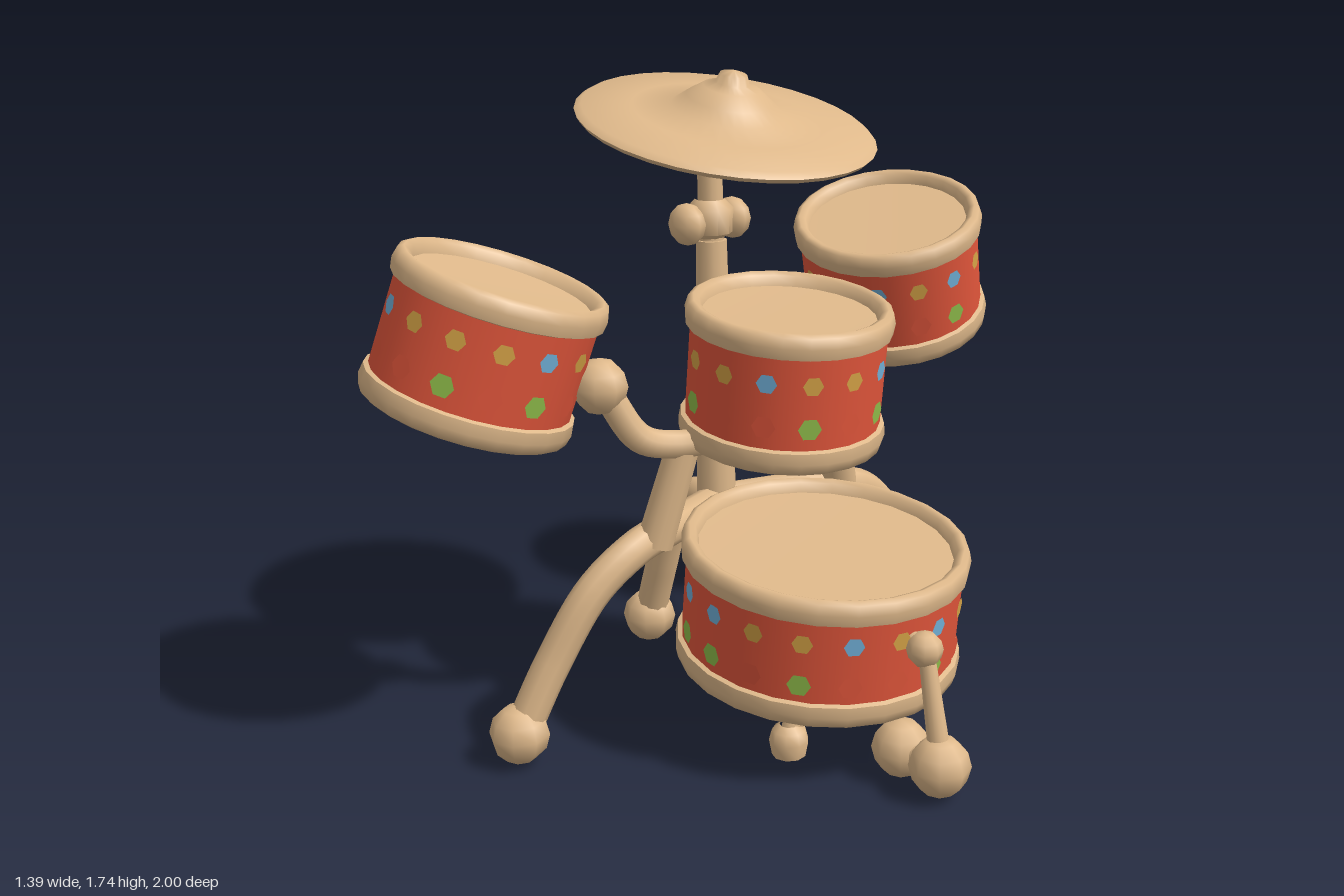
import * as THREE from 'three';
import { toCreasedNormals } from 'three/addons/utils/BufferGeometryUtils.js';

const mat = (name, color) => {
  const m = new THREE.MeshStandardMaterial({ color });
  m.name = name;
  return m;
};

export function createModel() {
  const tan = mat('tan', 0xdeb88a);
  const red = mat('red', 0xe4573c);
  const blue = mat('blue', 0x74b4dc);
  const gold = mat('gold', 0xd9a648);
  const green = mat('green', 0x92c04c);
  const root = new THREE.Group();
  root.name = 'drumKit';
  const V = (p) => new THREE.Vector3(...p);
  const UP = new THREE.Vector3(0, 1, 0);

  const add = (parent, name, geo, material, pos = [0, 0, 0]) => {
    const m = new THREE.Mesh(geo, material);
    m.name = name;
    m.position.set(...pos);
    parent.add(m);
    return m;
  };
  const lathe = (pts, sides) => toCreasedNormals(
    new THREE.LatheGeometry(pts.map((p) => new THREE.Vector2(...p)), sides), 1);
  const ball = (name, pos, r) => add(root, name, new THREE.SphereGeometry(r, 8, 6), tan, pos);
  const tube = (name, pts, r) => add(root, name,
    new THREE.TubeGeometry(new THREE.CatmullRomCurve3(pts.map(V)), pts.length * 5, r, 10), tan);
  // straight tapered rod between two points
  const rod = (name, a, b, ra, rb = ra) => {
    const d = V(b).sub(V(a));
    const m = add(root, name, new THREE.CylinderGeometry(rb, ra, d.length(), 12), tan);
    m.position.copy(V(a)).addScaledVector(d, 0.5);
    m.quaternion.setFromUnitVectors(UP, d.normalize());
  };

  // drum: red shell, two rolled rims with recessed heads, two rows of studs
  // stud rows are strings: b blue, y gold, g green, r red; dir -1 mirrors them front to back
  const studColours = { b: blue, y: gold, g: green, r: red };
  const drum = (name, bottom, top, r, upper, lower, phase, dir = 1) => {
    const g = new THREE.Group();
    g.name = name;
    const axis = V(top).sub(V(bottom));
    const h = axis.length() / 2;
    g.position.copy(V(bottom)).addScaledVector(axis, 0.5);
    g.quaternion.setFromUnitVectors(UP, axis.normalize());
    root.add(g);
    const s = r - 0.015;
    add(g, 'shell', new THREE.CylinderGeometry(s, s, 2 * h - 0.08, 24, 1, true), red);
    const rim = [[s - 0.01, h - 0.072], [r - 0.003, h - 0.064], [r + 0.001, h - 0.035], [r - 0.006, h - 0.008],
      [r - 0.02, h], [r - 0.036, h - 0.008], [r - 0.045, h - 0.035], [0, h - 0.04]];
    add(g, 'topRimAndHead', lathe(rim, 24), tan);
    add(g, 'bottomRimAndHead', lathe(rim.map(([x, y]) => [x, -y]).reverse(), 24), tan);
    const studRow = (label, row, y, size) => [...row].forEach((c, i) => {
      const turn = THREE.MathUtils.degToRad(phase) + (i / row.length) * Math.PI * 2;
      const a = dir > 0 ? turn : Math.PI - turn;
      const m = add(g, label, new THREE.CircleGeometry(size, 6), studColours[c],
        [Math.sin(a) * (s + 0.005), y, Math.cos(a) * (s + 0.005)]);
      m.rotation.y = a;
    });
    studRow('upperStud', upper, 0.055, 0.027);
    studRow('lowerStud', lower, -0.06, 0.031);
  };
  drum('lowerDrum', [0.127, 0.215, 0], [0.167, 0.57, 0], 0.38,
    'byybybyybbyybbyyyb', 'grgrrgrggrggrggrrg', 0);
  drum('centreTom', [-0.018, 0.795, 0], [0.024, 1.17, 0], 0.272,
    'ybyybbyybyybby', 'rrgrggrggrggrg', 12);
  drum('sideTom', [-0.378, 0.925, 0.74], [-0.312, 1.28, 0.637], 0.274,
    'byyybybyybyyby', 'rrgrgrggrggrgr', -12);
  drum('sideTom', [-0.348, 0.925, -0.745], [-0.288, 1.28, -0.642], 0.274,
    'byyybybyybyyby', 'rrgrgrggrggrgr', -12, -1);

  // cymbal with soft bell and nut
  const cymbal = add(root, 'cymbal', lathe([[0, 0.02], [0.1, 0.015], [0.36, -0.014], [0.388, -0.012],
    [0.397, 0], [0.38, 0.014], [0.25, 0.026], [0.15, 0.04], [0.115, 0.07], [0.075, 0.1],
    [0.044, 0.112], [0.036, 0.135], [0, 0.146]], 32), tan, [-0.23, 1.595, 0]);
  cymbal.quaternion.setFromUnitVectors(UP, new THREE.Vector3(0.225, 0.974, 0).normalize());

  // centre pole with clamp
  rod('lowerPole', [-0.29, 0.5, 0], [-0.3, 1.28, 0], 0.056, 0.042);
  rod('upperPole', [-0.3, 1.25, 0], [-0.305, 1.625, 0], 0.034);
  add(root, 'poleCollar', lathe([[0.035, -0.05], [0.06, -0.035], [0.064, 0.03], [0.04, 0.055]], 10),
    tan, [-0.305, 1.335, 0]);
  rod('clampBar', [-0.305, 1.33, -0.09], [-0.305, 1.33, 0.09], 0.04);
  for (const k of [1, -1]) ball('clampKnob', [-0.305, 1.33, 0.077 * k], 0.057).scale.z = 0.8;

  // back leg
  tube('backLeg', [[-0.27, 0.54, 0], [-0.39, 0.535, 0], [-0.48, 0.45, 0], [-0.56, 0.25, 0], [-0.615, 0.09, 0]], 0.047);
  ball('backFoot', [-0.62, 0.085, 0], 0.078);

  for (const k of [1, -1]) {
    // side legs
    tube('sideLeg', [[-0.29, 0.54, 0], [-0.18, 0.55, 0.26 * k], [-0.15, 0.54, 0.38 * k],
      [-0.165, 0.45, 0.51 * k], [-0.2, 0.27, 0.62 * k], [-0.222, 0.09, 0.712 * k]], 0.048);
    ball('sideFoot', [-0.225, 0.088, 0.716 * k], 0.08);
    // strut from the leg and curved arm to the side tom
    rod('tomStrut', [-0.14, 0.54, 0.33 * k], [-0.1, 0.82, 0.255 * k], 0.05, 0.044);
    tube('tomArm', [[-0.06, 0.82, 0.2 * k], [-0.1, 0.815, 0.29 * k], [-0.125, 0.845, 0.38 * k],
      [-0.16, 0.98, 0.46 * k]], 0.038);
    ball('tomJoint', [-0.17, 0.99, 0.468 * k], 0.073);
    // short legs below the lower drum
    rod('shortLeg', [0.2, 0.05, 0.16 * k], [0.19, 0.25, 0.07 * k], 0.028, 0.034);
    add(root, 'shortLegFoot', lathe([[0, -0.045], [0.045, -0.042], [0.053, 0], [0.045, 0.03], [0.025, 0.045]], 9),
      tan, [0.2, 0.047, 0.16 * k]);
  }

  // beater pedal
  rod('pedalMount', [0.47, 0.4, 0.02], [0.55, 0.39, 0.02], 0.026);
  ball('pedalHinge', [0.55, 0.385, 0.02], 0.047);
  rod('pedalRod', [0.555, 0.38, 0.02], [0.615, 0.1, 0.02], 0.021, 0.03);
  ball('beater', [0.612, 0.088, 0.02], 0.08);
  ball('beaterWeight', [0.475, 0.086, 0.02], 0.077);
  rod('beaterNeck', [0.475, 0.086, 0.02], [0.61, 0.086, 0.02], 0.035);

  return root;
}
